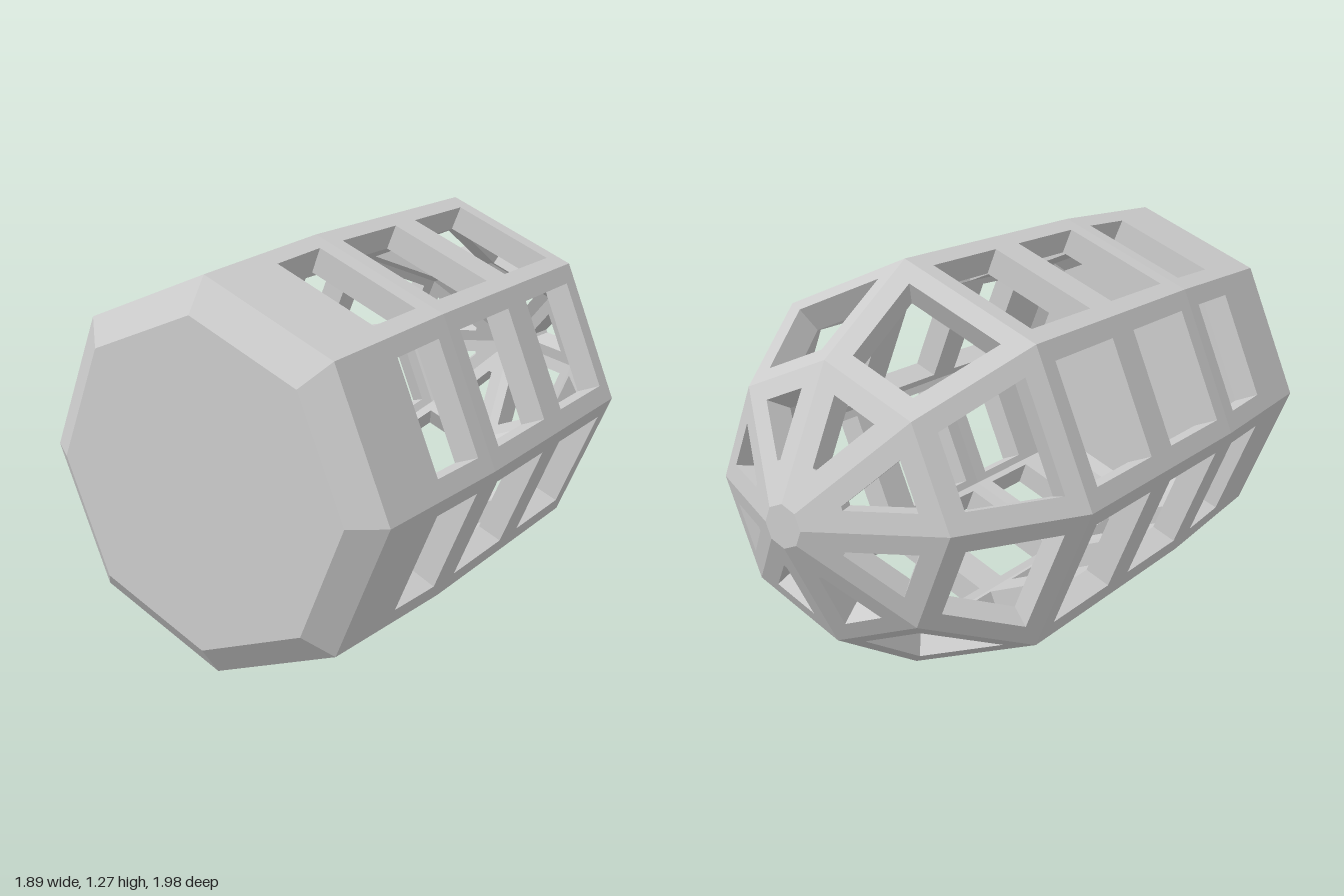
import * as THREE from 'three';

const SIDES = 8, THICK = 0.085, BEAM = 0.06;
const COS = Math.cos(Math.PI / SIDES), SIN = Math.sin(Math.PI / SIDES);

// Stations along the axis: [axial position, corner radius]
const RINGS = [[-0.07, 0], [-0.07, 0.508], [0, 0.608], [0.53, 0.635], [0.955, 0.635],
  [1.38, 0.635], [1.728, 0.4155], [1.917, 0.064], [1.917, 0]];

// One entry per span; start = width of solid wall before the window opens
const SPANS = [
  { name: 'endCap' }, { name: 'endBevel' },
  { name: 'solidBandWithWindows', start: 0.26 },
  { name: 'middleCageBay', start: BEAM }, { name: 'forwardCageBay', start: BEAM },
  { name: 'taperedCageBay', start: BEAM }, { name: 'noseSpokes', start: BEAM },
  { name: 'noseCap' },
];

// Outward normal of each span in the (axial, apothem) plane
const normals = SPANS.map((_, i) => {
  const da = RINGS[i + 1][0] - RINGS[i][0], dp = (RINGS[i + 1][1] - RINGS[i][1]) * COS;
  return new THREE.Vector2(-dp, da).normalize();
});

// Inner shell: mitred offset of the outer profile
const INNER = RINGS.map(([a, r], i) => {
  const n0 = normals[Math.max(i - 1, 0)], n1 = normals[Math.min(i, normals.length - 1)];
  const m = n0.clone().add(n1).multiplyScalar(THICK / (1 + n0.dot(n1)));
  return [a - m.x, r === 0 ? 0 : r - m.y / COS];
});

const corner = ([a, r], k) => {
  const t = (k * 2 * Math.PI) / SIDES;
  return new THREE.Vector3(r * Math.cos(t), r * Math.sin(t), a);
};

function addTri(out, a, b, c) {
  const area = b.clone().sub(a).cross(c.clone().sub(a)).length();
  if (area > 1e-7) for (const p of [a, b, c]) out.push(p.x, p.y, p.z);
}

function addQuad(out, a, b, c, d) {
  addTri(out, a, b, c);
  addTri(out, a, c, d);
}

// Window corners, set in from the panel edges by the beam width
function windowCorners([A, B, C, D], start) {
  const m0 = A.clone().add(B).multiplyScalar(0.5), m1 = C.clone().add(D).multiplyScalar(0.5);
  const len = m0.distanceTo(m1), w0 = A.distanceTo(B) / 2, w1 = C.distanceTo(D) / 2;
  const slope = (w1 - w0) / len, inset = BEAM * Math.hypot(1, slope), min = 0.006;
  const half = (s) => w0 + slope * s - inset;
  let end = len - BEAM;
  if (half(end) < min) end = (min + inset - w0) / slope;
  const u = B.clone().sub(A).normalize(), v = m1.clone().sub(m0).normalize();
  const at = (s, side) => m0.clone().addScaledVector(v, s).addScaledVector(u, side * half(s));
  return [at(start, -1), at(start, 1), at(end, 1), at(end, -1)];
}

function buildSpan(i) {
  const out = [], { start } = SPANS[i];
  for (let k = 0; k < SIDES; k++) {
    const panel = (rings) => [corner(rings[i], k), corner(rings[i], k + 1),
      corner(rings[i + 1], k + 1), corner(rings[i + 1], k)];
    const outer = panel(RINGS), inner = panel(INNER);
    if (start === undefined) {
      addQuad(out, ...outer);
      addQuad(out, ...inner.reverse());
      continue;
    }
    const win = windowCorners(outer, start);
    const n = outer[1].clone().sub(outer[0]).cross(outer[3].clone().sub(outer[0])).normalize();
    const winIn = win.map((p) => p.clone().addScaledVector(n, -THICK));
    for (let e = 0; e < 4; e++) {
      const f = (e + 1) % 4;
      addQuad(out, outer[e], outer[f], win[f], win[e]);         // outer frame
      addQuad(out, win[e], win[f], winIn[f], winIn[e]);         // window reveal
      addQuad(out, inner[f], inner[e], winIn[e], winIn[f]);     // inner frame
    }
  }
  const geo = new THREE.BufferGeometry();
  geo.setAttribute('position', new THREE.Float32BufferAttribute(out, 3));
  geo.computeVertexNormals();
  return geo;
}

export function createModel() {
  const material = new THREE.MeshStandardMaterial({ color: 0xcccccc, flatShading: true });
  const body = new THREE.Group();
  body.name = 'cageBody';
  SPANS.forEach((span, i) => {
    const mesh = new THREE.Mesh(buildSpan(i), material);
    mesh.name = span.name;
    body.add(mesh);
  });
  // Lay the axis level, pointing to the back left
  body.rotation.y = Math.atan2(0.637, -0.771);
  body.position.set(-0.48, 0.635, 0.615);

  const model = new THREE.Group();
  model.name = 'octagonalCage';
  model.add(body);
  return model;
}
